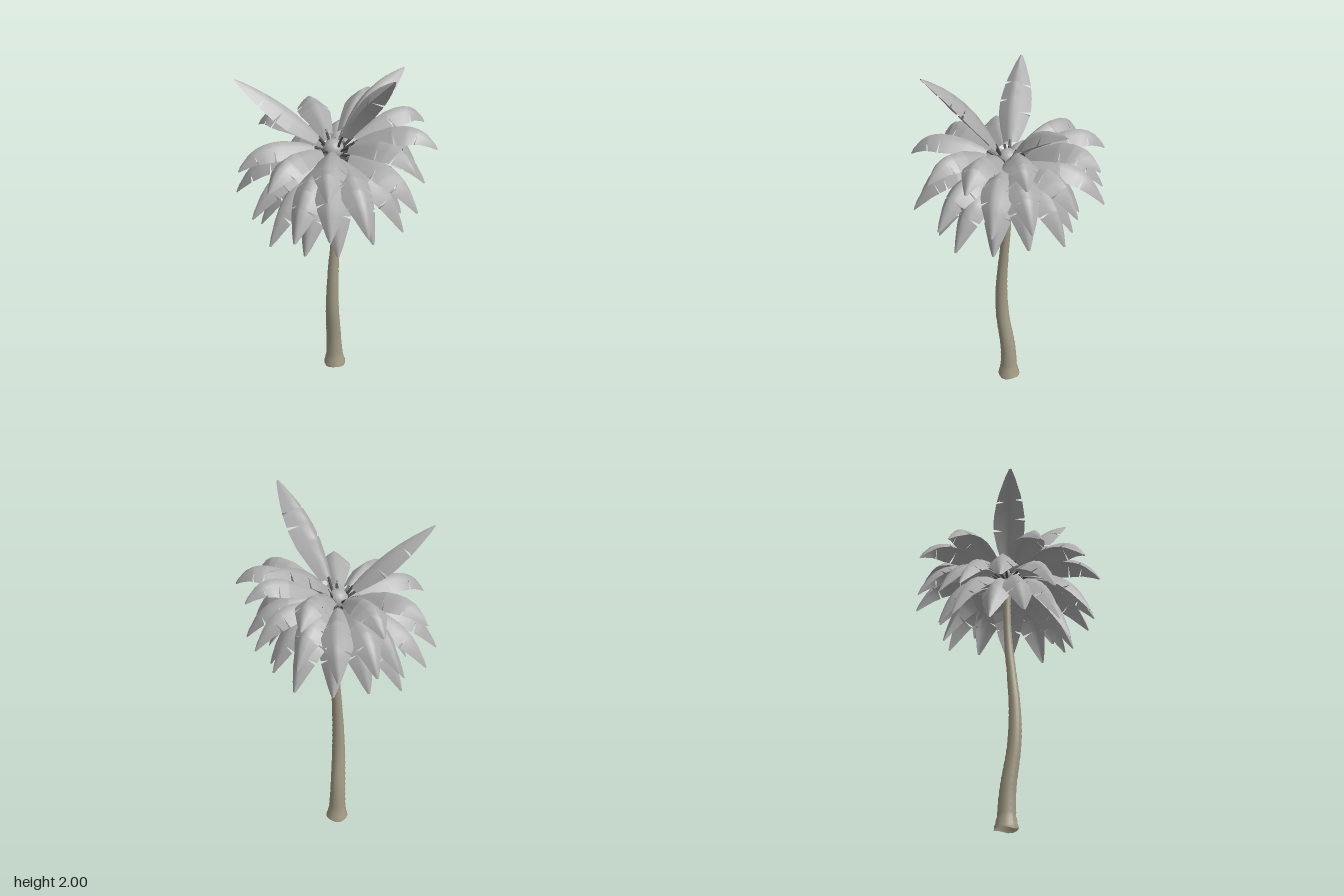
import * as THREE from 'three';
import { mergeVertices } from 'three/addons/utils/BufferGeometryUtils.js';

const leafMat = new THREE.MeshStandardMaterial({ color: 0xaeaeae, side: THREE.DoubleSide });
const stalkMat = new THREE.MeshStandardMaterial({ color: 0x505050 });
const barkMat = new THREE.MeshStandardMaterial({ color: 0xa39c86, side: THREE.DoubleSide });

// Piecewise linear lookup in [position, value] pairs
function lookup(table, t) {
  for (let i = 1; i < table.length; i++) {
    const [a, va] = table[i - 1], [b, vb] = table[i];
    if (t <= b) return va + (vb - va) * Math.max(0, (t - a) / (b - a));
  }
  return table[table.length - 1][1];
}

// Curved, ringed trunk: an open cylinder whose rows follow a bent centre line
function makeTrunk() {
  const height = 1.46, rings = 40;
  const line = new THREE.CatmullRomCurve3([
    [-0.002, 0, -0.01], [0, 0.2, -0.001], [0.023, 0.45, 0.026], [0.028, 0.65, 0.026],
    [0.022, 0.85, 0.009], [0.013, 1.05, -0.01], [0.004, 1.25, -0.012], [0, height, 0],
  ].map(p => new THREE.Vector3(...p)));
  const radius = [[0, 0.064], [0.02, 0.058], [0.05, 0.048], [0.12, 0.044], [0.35, 0.036], [0.6, 0.026], [0.8, 0.021], [1, 0.021]];
  const geo = new THREE.CylinderGeometry(1, 1, 1, 16, rings * 2, true);
  const pos = geo.attributes.position;
  for (let i = 0; i < pos.count; i++) {
    const t = pos.getY(i) + 0.5;
    const c = line.getPointAt(Math.min(1, Math.max(0, t)));
    const ridge = Math.round(t * rings * 2) % 2 ? 1.05 : 1;
    const r = lookup(radius, t) * ridge;
    const wave = t < 0.001 ? 0.005 * (1 + Math.sin(3 * Math.atan2(pos.getZ(i), pos.getX(i)))) : 0;
    pos.setXYZ(i, c.x + pos.getX(i) * r, c.y + wave, c.z + pos.getZ(i) * r);
  }
  geo.computeVertexNormals();
  const trunk = new THREE.Mesh(geo, barkMat);
  trunk.name = 'trunk';
  return trunk;
}

const leafWidth = [[0, 0.45], [0.15, 0.74], [0.33, 0.98], [0.5, 1], [0.7, 0.8], [0.86, 0.5], [0.96, 0.22], [1, 0.08]];
const columns = [-1, -0.4, 0, 0.4, 1];

// Folded leaf blade along a curve in the xy plane, with slits cut in its edges
function makeBlade(curve, halfWidth, start, slits) {
  const rows = [0, 0.15, 0.33, 0.55, 0.78, 0.93, 1].map(t => ({ t, side: 0, shift: 0 }));
  slits.forEach(([t, side]) => rows.push(
    { t, side, shift: 0.015 }, { t: t + 1e-6, side, shift: 0.045, open: true }));
  rows.sort((a, b) => a.t - b.t);
  const points = [], index = [], n = columns.length;
  rows.forEach((row, i) => {
    columns.forEach((u, j) => {
      const t = row.t + (u === row.side ? row.shift : 0);
      const s = start + (1 - start) * Math.min(1, t);
      const p = curve.getPoint(s), d = curve.getTangent(s);
      const w = halfWidth * lookup(leafWidth, t);
      const drop = 0.8 * w * Math.pow(Math.abs(u), 1.25);
      points.push(p.x + d.y * drop, p.y - d.x * drop, u * w);
      if (i > 0 && j < n - 1 && !row.open) {
        const a = (i - 1) * n + j, b = i * n + j;
        index.push(a, a + 1, b, a + 1, b + 1, b);
      }
    });
  });
  let geo = new THREE.BufferGeometry();
  geo.setAttribute('position', new THREE.Float32BufferAttribute(points, 3));
  geo.setIndex(index);
  geo = mergeVertices(geo, 1e-5);
  geo.computeVertexNormals();
  return geo;
}

// One frond: stalk and blade; base, bend and tip are [radius, height]
function makeFrond(name, degrees, base, bend, tip, seed) {
  const curve = new THREE.QuadraticBezierCurve3(
    ...[base, bend, tip].map(([r, y]) => new THREE.Vector3(r, y, 0)));
  const k = (seed * 37 % 10) / 100;
  const slits = [[0.29 + k, 1], [0.63 + k / 2, 1], [0.43 + k, -1], [0.72 - k, -1]];
  const frond = new THREE.Group();
  frond.name = name;
  const blade = new THREE.Mesh(makeBlade(curve, 0.087, 0.1, slits), leafMat);
  blade.name = 'blade';
  const stalkLine = new THREE.CatmullRomCurve3([0, 0.06, 0.13].map(t => {
    const p = curve.getPoint(t);
    p.y -= 0.009;
    return p;
  }));
  const stalk = new THREE.Mesh(new THREE.TubeGeometry(stalkLine, 3, 0.007, 6), stalkMat);
  stalk.name = 'stalk';
  frond.add(blade, stalk);
  frond.rotation.y = -THREE.MathUtils.degToRad(degrees);
  return frond;
}

export function createModel() {
  const palm = new THREE.Group();
  palm.name = 'palmTree';
  palm.add(makeTrunk());

  // Round heart of the crown
  const heart = new THREE.Mesh(new THREE.SphereGeometry(0.055, 16, 12), leafMat);
  heart.name = 'crownHeart';
  heart.position.y = 1.47;
  palm.add(heart);

  // Upright young fronds: angle, bend, tip
  [[-1, [0.18, 1.86], [0.465, 2]], [126, [0.2, 1.73], [0.495, 1.86]], [-96, [0.22, 1.79], [0.51, 1.79]]]
    .forEach(([a, bend, tip], i) => palm.add(makeFrond('uprightFrond', a, [0.035, 1.49], bend, tip, i + 1)));

  // Arching upper fronds: angle, tip radius, tip height
  [[-14, 0.527, 1.5], [-41, 0.545, 1.53], [-73, 0.515, 1.55], [-119, 0.55, 1.55], [-163, 0.525, 1.49],
    [164, 0.53, 1.46], [108, 0.515, 1.42], [74, 0.52, 1.43], [39, 0.53, 1.45]]
    .forEach(([a, r, y], i) => palm.add(
      makeFrond('upperFrond', a, [0.035, 1.47], [r * 0.77, y + 0.25], [r, y], i + 4)));

  // Drooping middle fronds: angle, tip radius, tip height
  [[-20, 0.52, 1.25], [-53, 0.49, 1.27], [-77, 0.49, 1.29], [-112, 0.47, 1.28], [-138, 0.525, 1.27],
    [-160, 0.52, 1.27], [180, 0.465, 1.22], [157, 0.51, 1.18], [132, 0.535, 1.18], [97, 0.485, 1.18],
    [60, 0.485, 1.16], [38, 0.49, 1.2], [16, 0.51, 1.22]]
    .forEach(([a, r, y], i) => palm.add(
      makeFrond('middleFrond', a, [0.035, 1.45], [r * 0.78, y + 0.33], [r, y], i + 2)));

  // Steep lower fronds, the crown leaning a little to the front
  for (let i = 0; i < 13; i++) {
    const a = 60 + i * 360 / 13;
    const r = 0.37 + 0.03 * (i * 2 % 3);
    const y = 1.055 - 0.045 * Math.sin(THREE.MathUtils.degToRad(a)) + 0.02 * (i % 3);
    palm.add(makeFrond('lowerFrond', a, [0.03, 1.41], [r * 0.8, y + 0.37], [r, y], i + 5));
  }
  return palm;
}
